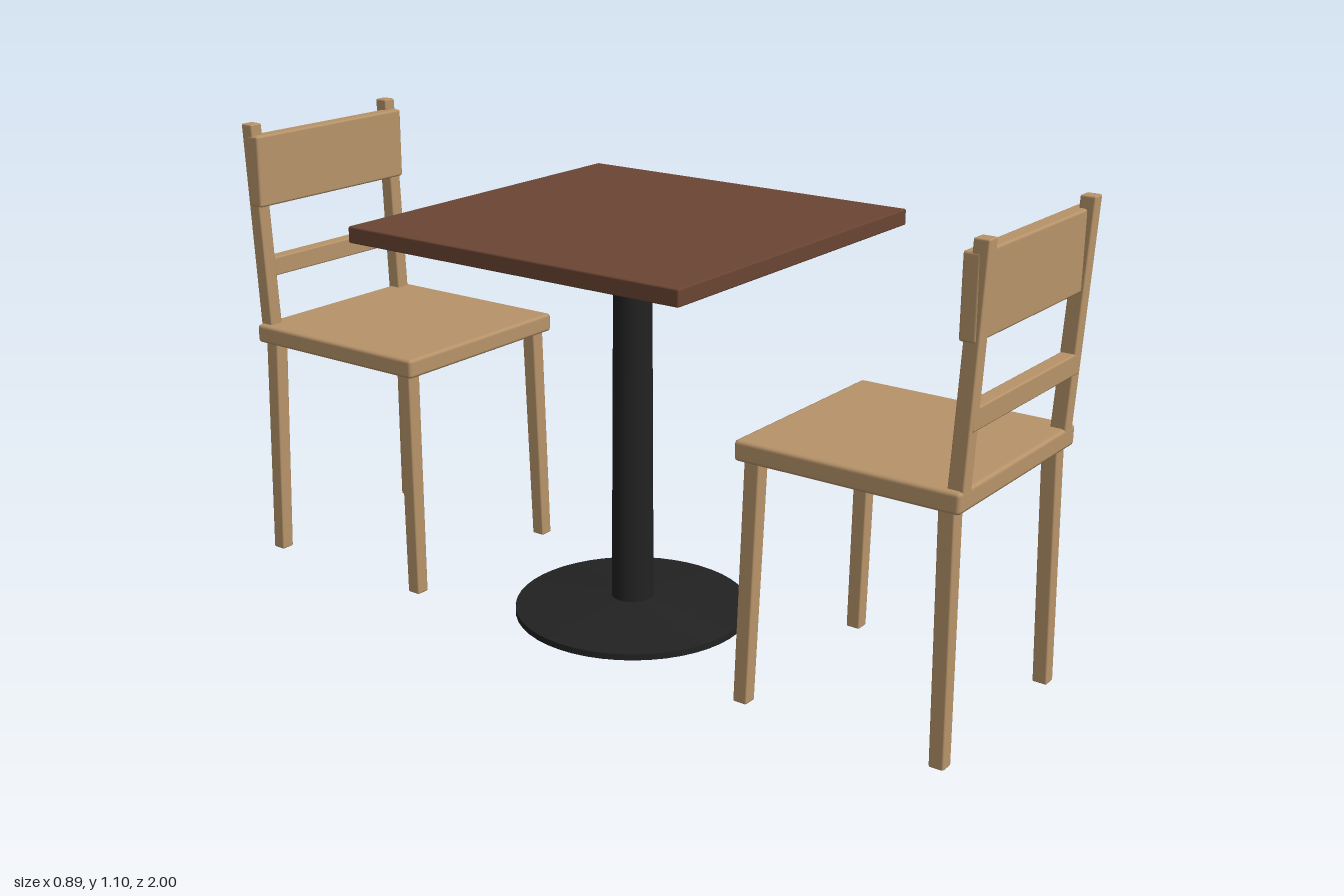
import * as THREE from 'three';
import { RoundedBoxGeometry } from 'three/addons/geometries/RoundedBoxGeometry.js';

const material = (name, color) => {
  const m = new THREE.MeshStandardMaterial({ color });
  m.name = name;
  return m;
};

export function createModel() {
  const lightWood = material('lightWood', 0xb8946a);
  const darkWood = material('darkWood', 0x6b4533);
  const blackMetal = material('blackMetal', 0x222222);

  function add(parent, name, geometry, mat) {
    const mesh = new THREE.Mesh(geometry, mat);
    mesh.name = name;
    parent.add(mesh);
    return mesh;
  }

  // Soft-edged block given by its lower and upper limits
  function block(parent, name, lo, hi, radius, mat) {
    const [w, h, d] = hi.map((v, i) => v - lo[i]);
    const mesh = add(parent, name, new RoundedBoxGeometry(w, h, d, 1, radius), mat);
    mesh.position.set(...hi.map((v, i) => (v + lo[i]) / 2));
  }

  // Leaning, tapered square bar; each end is [x, y, z, width]
  function bar(parent, name, bottom, top) {
    const h = top[1] - bottom[1];
    const geometry = new RoundedBoxGeometry(1, h, 1, 1, 0.004);
    const fresh = new RoundedBoxGeometry(0.036, h, 0.036, 1, 0.004);
    geometry.copy(fresh);
    const p = geometry.attributes.position;
    for (let i = 0; i < p.count; i++) {
      const t = p.getY(i) / h + 0.5;
      const mix = k => THREE.MathUtils.lerp(bottom[k], top[k], t);
      const s = mix(3) / 0.036;
      p.setXYZ(i, p.getX(i) * s + mix(0), mix(1), p.getZ(i) * s + mix(2));
    }
    add(parent, name, geometry, lightWood);
  }

  function makeChair(name) {
    const chair = new THREE.Group();
    chair.name = name;
    block(chair, 'seat', [-0.26, 0.555, 0.455], [0.26, 0.602, 0.975], 0.009, lightWood);
    for (const [side, s] of [['left', 1], ['right', -1]]) {
      bar(chair, side + 'InnerLeg', [s * 0.237, 0.004, 0.478, 0.034], [s * 0.228, 0.57, 0.492, 0.037]);
      bar(chair, side + 'OuterLeg', [s * 0.237, 0.004, 0.952, 0.034], [s * 0.228, 0.57, 0.94, 0.037]);
      bar(chair, side + 'BackPost', [s * 0.227, 0.59, 0.956, 0.036], [s * 0.231, 1.1, 0.983, 0.034]);
    }
    block(chair, 'backrest', [-0.249, 0.898, 0.946], [0.249, 1.073, 0.984], 0.006, lightWood);
    block(chair, 'lowerRail', [-0.236, 0.72, 0.948], [0.236, 0.767, 0.983], 0.004, lightWood);
    return chair;
  }

  const model = new THREE.Group();
  model.name = 'diningSet';

  // Table
  const table = new THREE.Group();
  table.name = 'table';
  block(table, 'tableTop', [-0.447, 0.922, -0.447], [0.447, 0.96, 0.447], 0.004, darkWood);
  const pole = add(table, 'tablePole', new THREE.CylinderGeometry(0.044, 0.05, 0.9, 32), blackMetal);
  pole.position.y = 0.475;
  const rim = add(table, 'baseRim', new THREE.CylinderGeometry(0.28, 0.28, 0.015, 48), blackMetal);
  rim.position.y = 0.0095;
  const cone = add(table, 'baseCone', new THREE.CylinderGeometry(0.05, 0.278, 0.024, 48, 1, true), blackMetal);
  cone.position.y = 0.029;
  model.add(table);

  // Two chairs facing each other
  const backChair = makeChair('backChair');
  backChair.rotation.y = Math.PI;
  model.add(makeChair('frontChair'), backChair);
  return model;
}
